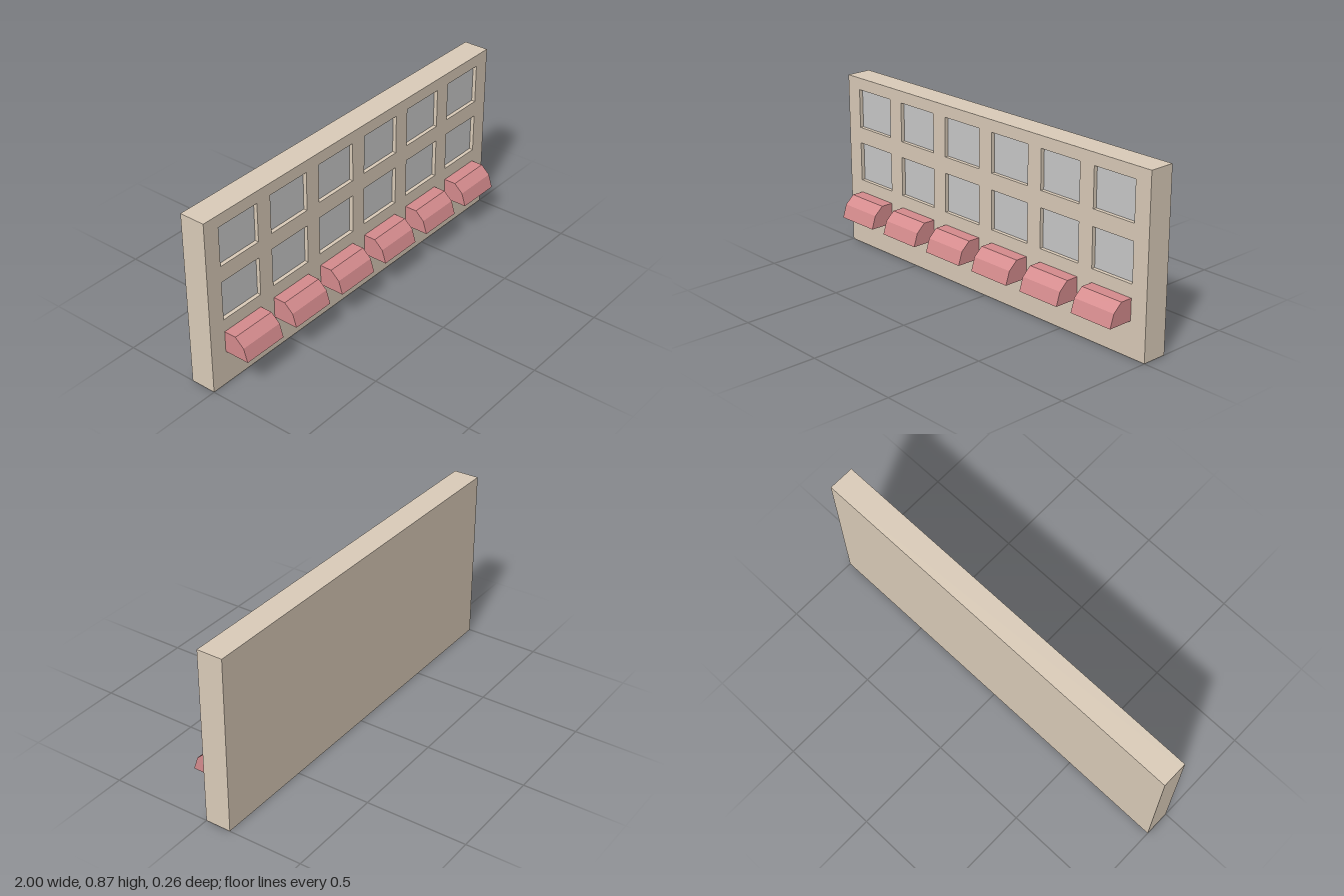
import * as THREE from 'three';

const W = 2, H = 0.873, DEPTH = 0.128, RECESS = 0.02;
const COLUMNS = [0, 1, 2, 3, 4, 5].map(i => (i - 2.5) * 0.319);
const ROWS = [0.44, 0.716];
const WIN_W = 0.236, WIN_H = 0.195;

function material(color) {
  return new THREE.MeshStandardMaterial({ color, flatShading: true });
}

function rectangle(target, x, y, w, h) {
  target.moveTo(x - w / 2, y - h / 2);
  target.lineTo(x + w / 2, y - h / 2);
  target.lineTo(x + w / 2, y + h / 2);
  target.lineTo(x - w / 2, y + h / 2);
  target.closePath();
  return target;
}

export function createModel() {
  const model = new THREE.Group();
  model.name = 'facade';
  const wallMat = material(0xdccdba);
  const glassMat = material(0xcccccc);
  const awningMat = material(0xd68c8e);

  const add = (name, geometry, mat, x, y, z) => {
    const mesh = new THREE.Mesh(geometry, mat);
    mesh.name = name;
    mesh.position.set(x, y, z);
    model.add(mesh);
  };

  // Solid back of the wall
  const backDepth = DEPTH - RECESS;
  add('wallBack', new THREE.BoxGeometry(W, H, backDepth), wallMat, 0, H / 2, -RECESS - backDepth / 2);

  // Front layer of the wall, pierced by two rows of windows
  const front = rectangle(new THREE.Shape(), 0, H / 2, W, H);
  for (const y of ROWS) {
    for (const x of COLUMNS) front.holes.push(rectangle(new THREE.Path(), x, y, WIN_W, WIN_H));
  }
  add('wallFront', new THREE.ExtrudeGeometry(front, { depth: RECESS, bevelEnabled: false }), wallMat, 0, 0, -RECESS);

  // Recessed window panes
  const pane = new THREE.PlaneGeometry(WIN_W, WIN_H);
  for (const y of ROWS) {
    for (const x of COLUMNS) add('windowPane', pane, glassMat, x, y, -RECESS + 0.001);
  }

  // Faceted awnings: a side profile (z, y) swept along x
  const awningW = 0.232;
  const profile = new THREE.Shape(
    [[0, 0.172], [0.128, 0.172], [0.107, 0.237], [0.062, 0.278], [0, 0.278]].map(([z, y]) => new THREE.Vector2(z, y))
  );
  const awning = new THREE.ExtrudeGeometry(profile, { depth: awningW, bevelEnabled: false });
  awning.translate(0, 0, -awningW / 2);
  awning.rotateY(-Math.PI / 2);
  for (const x of COLUMNS) add('awning', awning, awningMat, x, 0, 0);

  return model;
}
